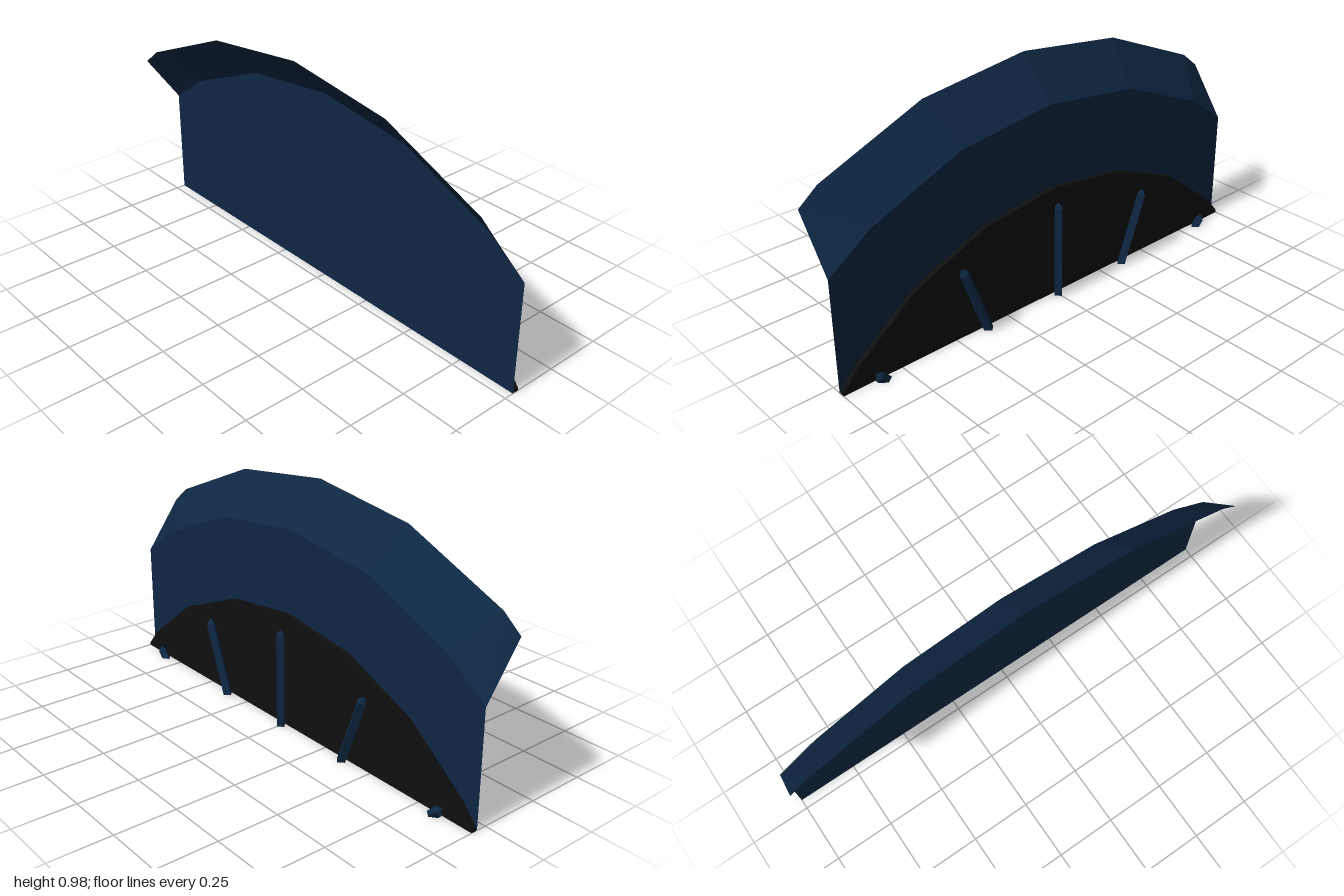
import * as THREE from 'three';

// Half arcs as [z, y], from the crown down to the end; mirrored to both sides
const hoodArc = [[0, 0.98], [0.475, 0.92], [0.92, 0.735], [1, 0.67]];
const wallArc = [[0, 0.81], [0.425, 0.757], [0.825, 0.59], [1, 0.463]];
const panelArc = [[0, 0.472], [0.345, 0.428], [0.672, 0.293], [0.935, 0.088], [1, 0.012]];
const mirrorArc = (arc) => [...arc.slice(1).reverse().map(([z, y]) => [-z, y]), ...arc];

// Flat plate standing across x, outlined by an arc above y = 0
function archShape(arc) {
  const points = [[-1, 0], ...mirrorArc(arc), [1, 0]];
  return new THREE.Shape(points.map(([z, y]) => new THREE.Vector2(z, y)));
}

function geometryFrom(positions, index) {
  const g = new THREE.BufferGeometry();
  g.setAttribute('position', new THREE.Float32BufferAttribute(positions, 3));
  g.setIndex(index);
  const flat = g.toNonIndexed();
  flat.computeVertexNormals();
  return flat;
}

// Sloping strip between the outer and the inner arc
function hoodGeometry() {
  const outer = mirrorArc(hoodArc), inner = mirrorArc(wallArc);
  const positions = [], index = [];
  outer.forEach(([z, y], i) => {
    positions.push(-0.11, y, z, 0.04, inner[i][1], inner[i][0]);
    if (i > 0) {
      const a = 2 * i - 2;
      index.push(a, a + 2, a + 1, a + 1, a + 2, a + 3);
    }
  });
  return geometryFrom(positions, index);
}

// Diamond bar leaning by an angle, cut level at the ground, with a pointed tip
function ribGeometry(z0, angle, length) {
  const r = 0.021, cx = 0.0865, s = Math.sin(angle), c = Math.cos(angle);
  const corners = [[r, 0], [0, -r], [-r, 0], [0, r]];
  const positions = [], index = [];
  for (const [x, w] of corners) positions.push(cx + x, 0, z0 + w / c);
  for (const [x, w] of corners) positions.push(cx + x, length * c - w * s, z0 + length * s + w * c);
  const tip = length + 0.022;
  positions.push(cx - 0.003, tip * c, z0 + tip * s);
  for (let i = 0; i < 4; i++) {
    const j = (i + 1) % 4;
    index.push(i, j, i + 4, j, j + 4, i + 4, i + 4, j + 4, 8);
  }
  index.push(0, 2, 1, 0, 3, 2);
  return geometryFrom(positions, index);
}

export function createModel() {
  const group = new THREE.Group();
  const navy = new THREE.MeshStandardMaterial({ color: 0x0e2743, side: THREE.DoubleSide, flatShading: true });
  navy.name = 'navy';
  const black = new THREE.MeshStandardMaterial({ color: 0x0f0f0f, flatShading: true });
  black.name = 'black';
  const add = (name, geometry, material) => {
    const mesh = new THREE.Mesh(geometry, material);
    mesh.name = name;
    group.add(mesh);
    return mesh;
  };

  // Flared hood and the thin wall beneath it
  add('hood', hoodGeometry(), navy);
  const wall = add('wall', new THREE.ShapeGeometry(archShape(wallArc)), navy);
  wall.rotation.y = Math.PI / 2;
  wall.position.x = 0.04;

  // Dark arched panel in front of the wall
  const panel = add('archPanel', new THREE.ExtrudeGeometry(archShape(panelArc), { depth: 0.022, bevelEnabled: false }), black);
  panel.rotation.y = Math.PI / 2;
  panel.position.x = 0.045;

  // Ribs fanning out from a point below the ground
  const ribs = new THREE.Group();
  ribs.name = 'ribs';
  group.add(ribs);
  for (const [z0, angle, length] of [[0, 0, 0.392], [0.362, 0.357, 0.308], [0.838, 0.715, 0.035]]) {
    for (const side of z0 ? [1, -1] : [1]) {
      const rib = new THREE.Mesh(ribGeometry(side * z0, side * angle, length), navy);
      rib.name = 'rib';
      ribs.add(rib);
    }
  }
  return group;
}
